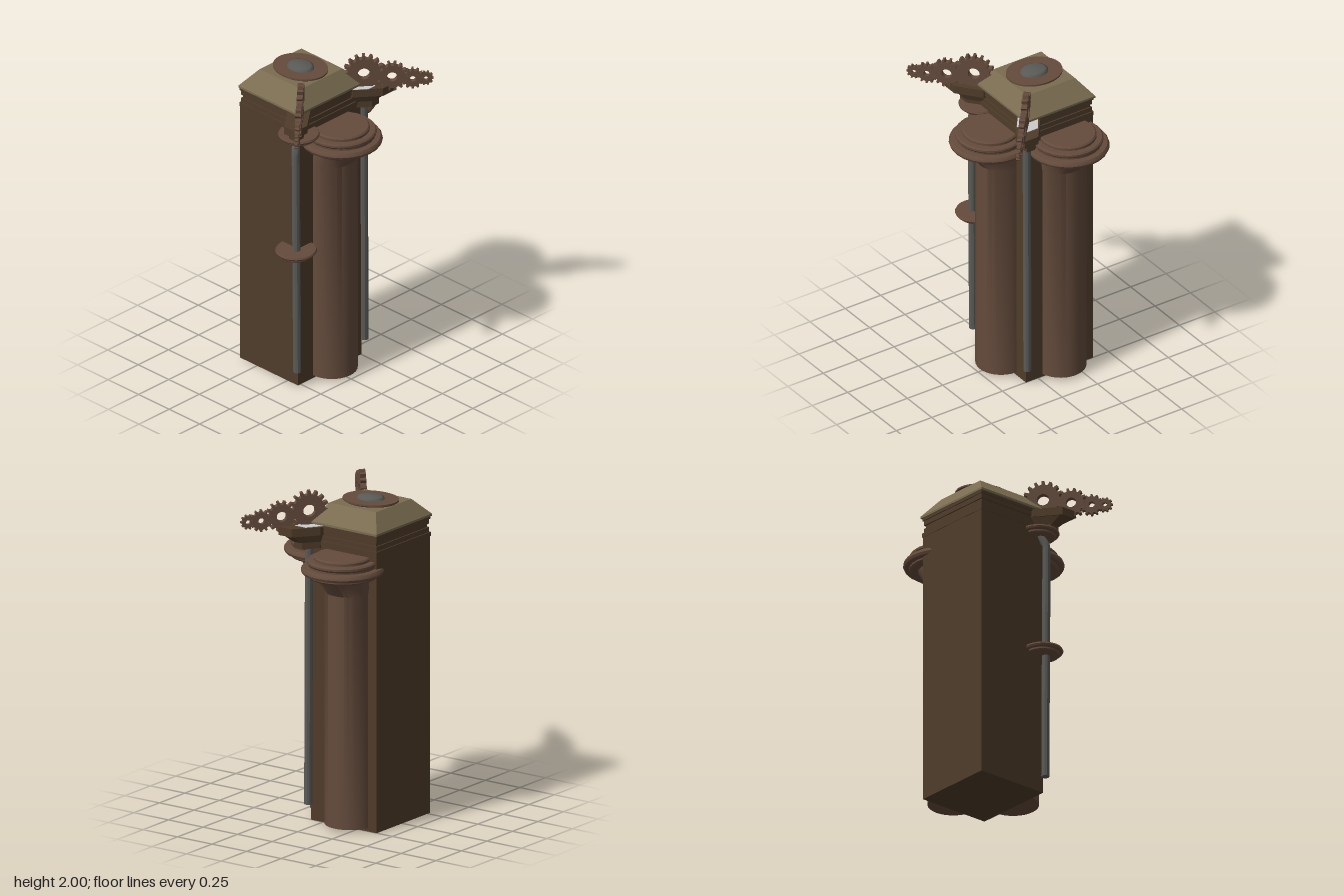
import * as THREE from 'three';
import { toCreasedNormals } from 'three/addons/utils/BufferGeometryUtils.js';

const mat = (color) => new THREE.MeshStandardMaterial({ color });
const WALL = mat(0x4f3c2a), ROOF = mat(0x7a6c50), BROWN = mat(0x644b3c), PIPE = mat(0x5a5a57), GREY = mat(0xcccccc);

function add(parent, name, geometry, material) {
  const mesh = new THREE.Mesh(toCreasedNormals(geometry, 0.6), material);
  mesh.name = name;
  parent.add(mesh);
  return mesh;
}

// Four-sided block between two rectangles, each [x0, x1, z0, z1]
function block(y0, y1, low, high = low) {
  const g = new THREE.BoxGeometry(1, 1, 1), p = g.attributes.position;
  for (let i = 0; i < p.count; i++) {
    const up = p.getY(i) > 0, r = up ? high : low;
    p.setXYZ(i, r[p.getX(i) > 0 ? 1 : 0], up ? y1 : y0, r[p.getZ(i) > 0 ? 3 : 2]);
  }
  return g;
}

// Upright slab from a plan outline of [x, z]; its underside shrinks towards a pivot
function slab(plan, y0, y1, shrink = 1, px = 0.04, pz = 0.23) {
  const shape = new THREE.Shape(plan.map(([x, z]) => new THREE.Vector2(x, -z)));
  const g = new THREE.ExtrudeGeometry(shape, { depth: y1 - y0, bevelEnabled: false });
  g.rotateX(-Math.PI / 2).translate(0, y0, 0);
  const p = g.attributes.position;
  for (let i = 0; i < p.count; i++) {
    if (p.getY(i) < y0 + 1e-4) {
      p.setX(i, px + (p.getX(i) - px) * shrink);
      p.setZ(i, pz + (p.getZ(i) - pz) * shrink);
    }
  }
  return g;
}

const lathe = (points, sides) =>
  new THREE.LatheGeometry(points.map(([r, y]) => new THREE.Vector2(r, y)), sides);

// Round column whose top leans out (+x) under a stepped cap
function column(name) {
  const group = new THREE.Group();
  group.name = name;
  const lean = 0.075;
  const shaft = lathe([[0, 0.02], [0.151, 0.02], [0.151, 1.43], [0.16, 1.54]], 32);
  const p = shaft.attributes.position;
  for (let i = 0; i < p.count; i++) if (p.getY(i) > 1.5) p.setX(i, p.getX(i) + lean);
  add(group, 'columnShaft', shaft, BROWN);
  const cap = lathe([
    [0, 1.535], [0.2, 1.535], [0.21, 1.545], [0.21, 1.555], [0.237, 1.56], [0.244, 1.575], [0.24, 1.59],
    [0.232, 1.598], [0.2, 1.6], [0.2, 1.61], [0.208, 1.62], [0.208, 1.632], [0.2, 1.64],
    [0.168, 1.64], [0.168, 1.655], [0.16, 1.663], [0, 1.663],
  ], 24);
  add(group, 'columnCap', cap, BROWN).position.x = lean;
  return group;
}

function gearGeometry(r, teeth, hole, depth) {
  const root = r * 0.8, pts = [];
  for (let i = 0; i < teeth; i++) {
    for (const [f, rad] of [[-0.28, root], [-0.16, r], [0.16, r], [0.28, root]]) {
      const a = ((i + f) / teeth) * Math.PI * 2;
      pts.push(new THREE.Vector2(Math.cos(a) * rad, Math.sin(a) * rad));
    }
  }
  const shape = new THREE.Shape(pts);
  shape.holes.push(new THREE.Path().absarc(0, 0, hole, 0, Math.PI * 2, true));
  return new THREE.ExtrudeGeometry(shape, { depth, bevelEnabled: false, curveSegments: 10 }).translate(0, 0, -depth / 2);
}

// Corner bracket with its train of gears, running diagonally out from the +x +z corner
function corner(name) {
  const group = new THREE.Group();
  group.name = name;
  const plan = [[0, 0.17], [0, 0.275], [0.11, 0.413], [0.202, 0.413], [0.202, 0.315], [0.09, 0.175]];
  add(group, 'bracketTop', slab(plan, 1.745, 1.795), WALL);
  const inner = plan.map(([x, z]) => [0.04 + (x - 0.04) * 0.9, 0.23 + (z - 0.23) * 0.9]);
  add(group, 'bracketTaper', slab(inner, 1.7, 1.745, 0.72), WALL);
  const neck = plan.map(([x, z]) => [0.04 + (x - 0.04) * 0.62, 0.23 + (z - 0.23) * 0.62]);
  add(group, 'bracketNeck', slab(neck, 1.66, 1.702), WALL);

  // Gears: [x, y, z, radius, teeth, hole, thickness]
  const gears = [
    [0.095, 1.88, 0.262, 0.12, 16, 0.036, 0.036],
    [0.203, 1.853, 0.386, 0.092, 14, 0.03, 0.034],
    [0.282, 1.833, 0.477, 0.066, 12, 0.018, 0.028],
    [0.333, 1.83, 0.536, 0.045, 10, 0.013, 0.02],
  ];
  gears.forEach(([x, y, z, r, teeth, hole, depth], i) => {
    const gear = add(group, 'gear' + (i + 1), gearGeometry(r, teeth, hole, depth), BROWN);
    gear.position.set(x, y, z);
    gear.rotation.y = -Math.atan2(0.75, 0.66);
  });
  return group;
}

function pipe(group, name, points) {
  const path = new THREE.CurvePath();
  const v = points.map((q) => new THREE.Vector3(...q));
  for (let i = 1; i < v.length; i++) path.add(new THREE.LineCurve3(v[i - 1], v[i]));
  add(group, name, new THREE.TubeGeometry(path, 40, 0.024, 10), PIPE);
  // Closed ends
  for (const [end, turn] of [[v[0], Math.PI / 2], [v[v.length - 1], -Math.PI / 2]]) {
    const lid = add(group, name + 'End', new THREE.CircleGeometry(0.024, 10).rotateX(turn), PIPE);
    lid.position.copy(end);
  }
}

export function createModel() {
  const model = new THREE.Group();
  model.name = 'tower';

  // Square tower and its stepped cornice
  add(model, 'towerBody', block(0, 1.69, [-0.388, 0.085, -0.252, 0.272]), WALL);
  const cornice = [[1.68, 1.705, 0.003], [1.705, 1.735, -0.004], [1.735, 1.755, -0.012], [1.755, 1.785, -0.004], [1.785, 1.805, 0.002]];
  for (const [y0, y1, d] of cornice) {
    add(model, 'corniceBand', block(y0, y1, [-0.388 - d, 0.085 + d, -0.252 - d, 0.272 + d]), WALL);
  }

  // Hipped roof with an oval plate and dome
  const eave = [-0.396, 0.093, -0.264, 0.28];
  add(model, 'roofEdge', block(1.802, 1.815, eave), ROOF);
  add(model, 'roofSlope', block(1.815, 1.915, eave, [-0.32, 0.018, -0.165, 0.18]), ROOF);
  const plate = add(model, 'roofPlate', lathe([[0, 1.91], [0.9, 1.91], [0.96, 1.92], [1, 1.922], [1, 1.932], [0, 1.932]], 32), BROWN);
  const dome = add(model, 'roofDome', lathe([[0.5, 1.93], [0.48, 1.94], [0.38, 1.947], [0, 1.95]], 24), PIPE);
  for (const m of [plate, dome]) {
    m.scale.set(0.174, 1, 0.146);
    m.position.set(-0.153, 0, 0.01);
  }

  // Columns on the left side and the back
  const side = column('sideColumn');
  side.position.set(0.09, 0, -0.003);
  const back = column('backColumn');
  back.position.set(-0.178, 0, -0.225);
  back.rotation.y = Math.PI / 2;
  model.add(side, back);

  // Mirrored corner brackets; the rear one carries a pale top plate
  const front = corner('frontCorner'), rear = corner('rearCorner');
  rear.scale.z = -1;
  const top = [[0, 0.25], [0.06, 0.338], [0.14, 0.338], [0.15, 0.3], [0.15, 0.25], [0.09, 0.175]];
  add(rear, 'bracketPlate', slab(top, 1.79, 1.798), GREY);
  model.add(front, rear);

  // Corner pipes
  pipe(model, 'frontPipe', [[0.09, 0.1, 0.284], [0.09, 1.58, 0.296], [0.06, 1.65, 0.262]]);
  pipe(model, 'rearPipe', [[0.09, 0.1, -0.274], [0.09, 1.69, -0.266]]);

  // Round collars on the front pipe
  const collar = [[0, 0], [0.095, 0], [0.1, 0.006], [0.1, 0.016], [0.117, 0.02], [0.122, 0.03], [0.117, 0.04], [0, 0.042]];
  add(model, 'lowerCollar', lathe(collar, 24), BROWN).position.set(0.075, 0.872, 0.278);
  add(model, 'upperCollar', lathe(collar, 24), BROWN).position.set(0.07, 1.635, 0.25);

  return model;
}
